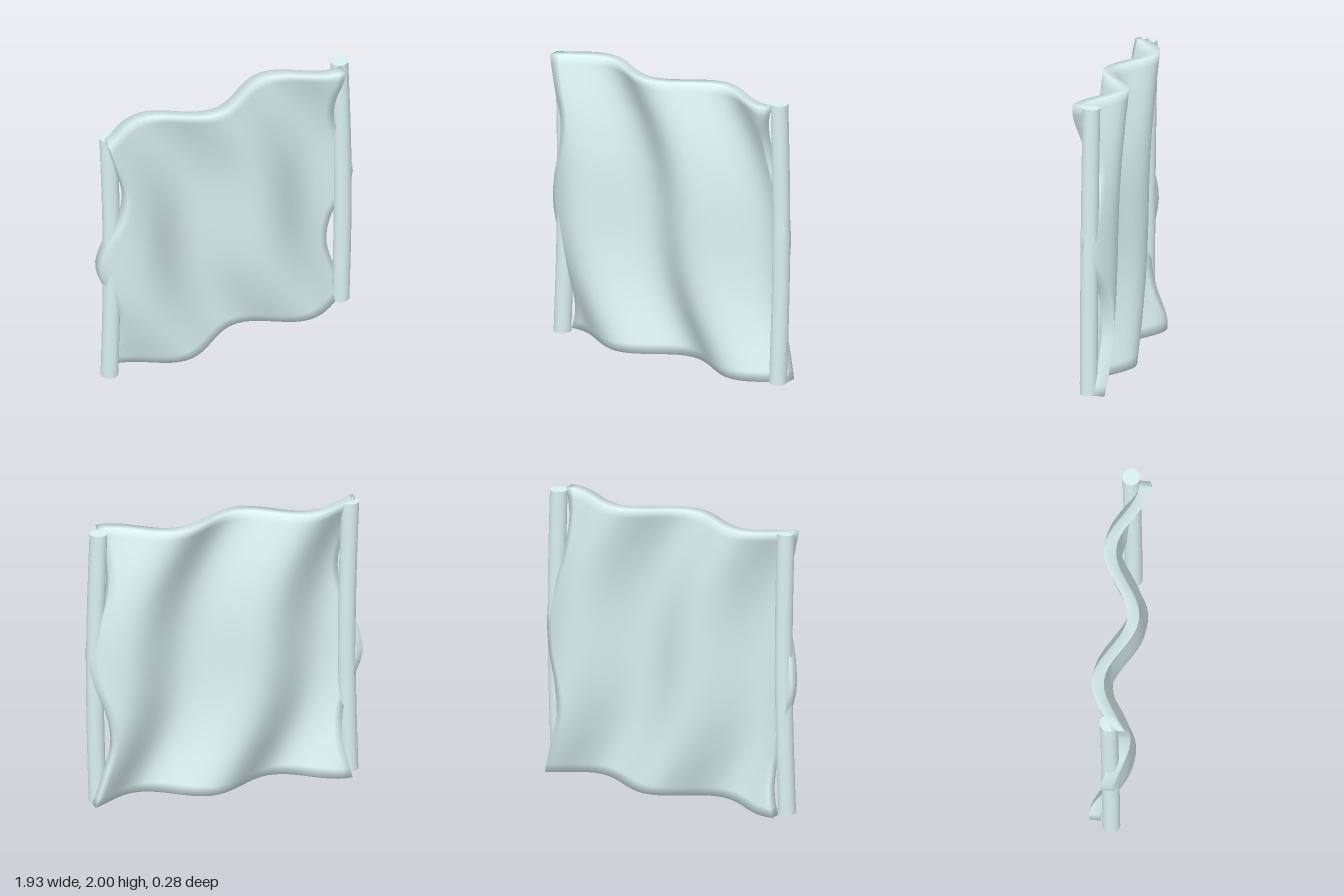
import * as THREE from 'three';
import { mergeVertices } from 'three/addons/utils/BufferGeometryUtils.js';

const HEIGHT = 2, THICKNESS = 0.08, AMP = 0.1, WAVE = 0.95, CENTRE_X = -0.01;
const material = new THREE.MeshStandardMaterial({ color: 0xdaf0f0 });

// Right-hand edge of the sheet as x over y; the left edge is its point mirror.
const edgeCurve = new THREE.CatmullRomCurve3(
  [0.935, 0.875, 0.82, 0.845, 0.93, 0.96, 0.89, 0.825, 0.815, 0.865].map(
    (x, i, a) => new THREE.Vector3(x, (i / (a.length - 1)) * HEIGHT, 0)));

function rightEdge(y) {
  return edgeCurve.getPoint(y / HEIGHT).x;
}

// Wave across x whose phase drifts with height, slowest at mid height.
function waveZ(x, y) {
  const v = 1 - y;
  const drift = 0.36 * (v - 0.7 * Math.sin(Math.PI * v) / Math.PI);
  return AMP * Math.sin((2 * Math.PI * (x - drift)) / WAVE);
}

// Thin slab bent into waves, with normals shared across its rim.
function createSheet() {
  const box = new THREE.BoxGeometry(2, HEIGHT, THICKNESS, 36, 32, 1);
  box.translate(0, HEIGHT / 2, 0);
  box.deleteAttribute('normal');
  box.deleteAttribute('uv');
  const geometry = mergeVertices(box);
  const p = geometry.attributes.position;
  for (let i = 0; i < p.count; i++) {
    const y = THREE.MathUtils.clamp(p.getY(i), 0, HEIGHT);
    const x = THREE.MathUtils.lerp(
      -rightEdge(HEIGHT - y), rightEdge(y), (p.getX(i) + 1) / 2);
    p.setXYZ(i, x + CENTRE_X, y, p.getZ(i) + waveZ(x, y));
  }
  geometry.computeVertexNormals();
  return geometry;
}

// Slightly bowed, slightly leaning round pole.
function createPole(x) {
  const geometry = new THREE.CylinderGeometry(0.06, 0.06, HEIGHT, 40, 24);
  geometry.translate(0, HEIGHT / 2, 0);
  const p = geometry.attributes.position;
  for (let i = 0; i < p.count; i++) {
    const t = p.getY(i) / HEIGHT;
    p.setX(i, p.getX(i) + x + 0.022 * Math.sin(Math.PI * t));
    p.setZ(i, p.getZ(i) + 0.018 * (1 - t));
  }
  return geometry;
}

export function createModel() {
  const model = new THREE.Group();
  model.name = 'wavyPanelWithPoles';
  const parts = {
    wavySheet: createSheet(),
    leftPole: createPole(0.875),
    rightPole: createPole(-0.9),
  };
  for (const [name, geometry] of Object.entries(parts)) {
    const mesh = new THREE.Mesh(geometry, material);
    mesh.name = name;
    model.add(mesh);
  }
  return model;
}
